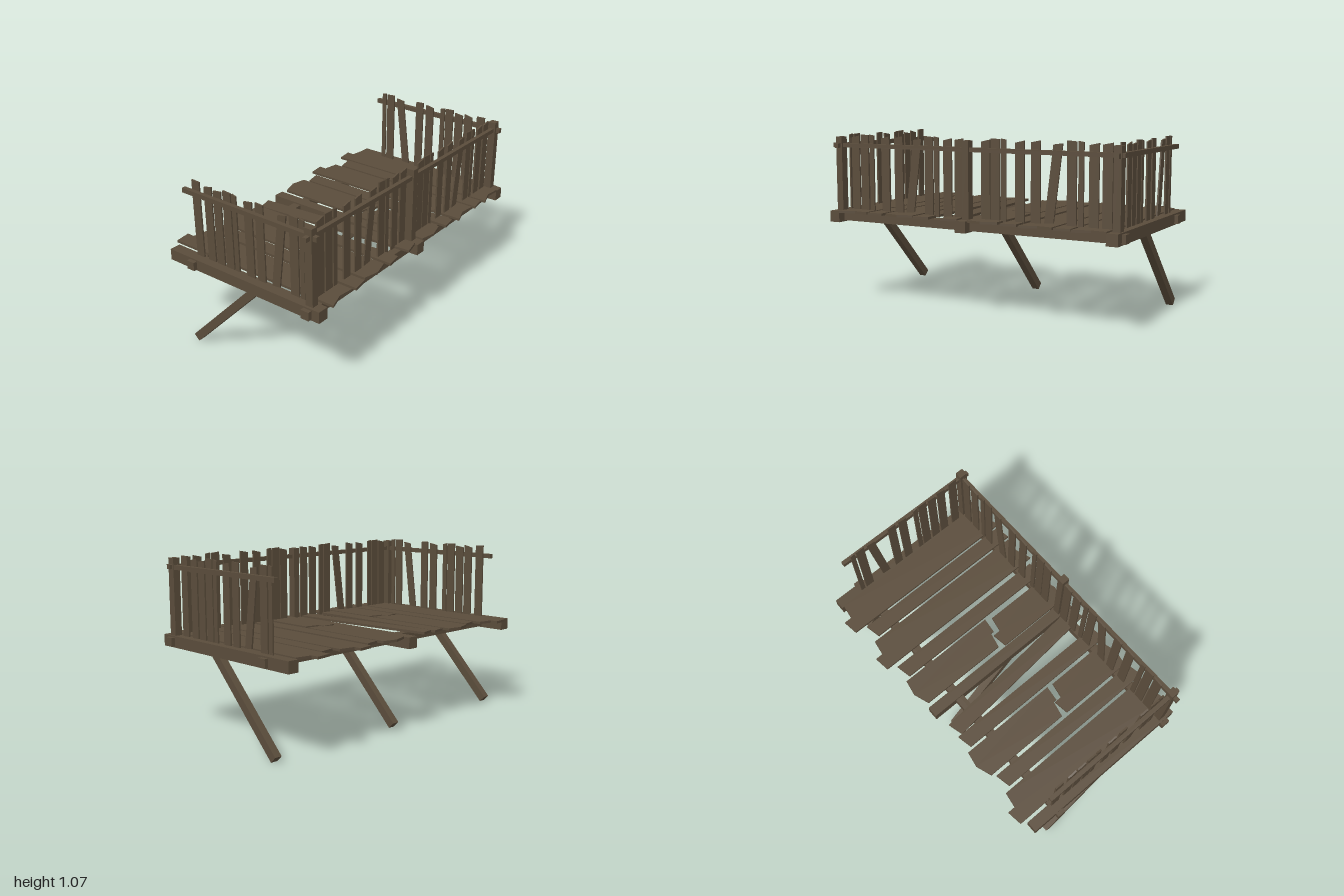
import * as THREE from 'three';

const wood = new THREE.MeshStandardMaterial({ color: 0x5a4c3b });
wood.name = 'weathered wood';

function add(parent, name, geometry, x = 0, y = 0, z = 0) {
  const mesh = new THREE.Mesh(geometry, wood);
  mesh.name = name;
  mesh.position.set(x, y, z);
  parent.add(mesh);
  return mesh;
}

function beam(parent, name, w, h, d, x, y, z) {
  return add(parent, name, new THREE.BoxGeometry(w, h, d), x, y, z);
}

function board(points, thickness) {
  const shape = new THREE.Shape(points.map(([a, b]) => new THREE.Vector2(a, b)));
  return new THREE.ExtrudeGeometry(shape, { depth: thickness, bevelEnabled: false });
}

// Upright board: [left, right, left top height, right top height, lean]
function pickets(list) {
  const group = new THREE.Group();
  for (const [a, b, ha, hb, lean = 0] of list) {
    const foot = lean ? 0.6 : 0.585;
    add(group, 'picket', board(
      [[a, foot], [b, foot + lean * 0.1], [b + lean, hb], [a + lean, ha]], 0.01));
  }
  return group;
}

export function createModel() {
  const model = new THREE.Group();
  model.name = 'balcony';

  // Floor frame: cross joists, diagonal braces and front posts
  const foot = new THREE.Vector2(-0.407, 0.018), head = new THREE.Vector2(0.11, 0.545);
  const span = head.clone().sub(foot);
  for (const x of [-0.94, -0.01, 0.942]) {
    beam(model, 'joist', 0.07, 0.07, 1.13, x, 0.555, 0.01);
    const brace = beam(model, 'brace', 0.046, 0.05, span.length(),
      x, (foot.y + head.y) / 2, (foot.x + head.x) / 2);
    brace.rotation.x = -Math.atan2(span.y, span.x);
    beam(model, 'post', 0.045, 0.48, 0.05, x + 0.003, 0.815, 0.495);
  }
  for (const z of [0.495, -0.365]) {
    beam(model, 'longBeam', 2, 0.053, 0.055, 0, 0.554, z);
  }

  // Deck boards, outlined as [x, z] with split and slanted ends
  const deck = new THREE.Group();
  deck.name = 'deck';
  model.add(deck);
  const plank = (points) => {
    const geometry = board(points.map(([x, z]) => [x, -z]).reverse(), 0.015);
    geometry.rotateX(-Math.PI / 2);
    add(deck, 'deckBoard', geometry, 0, 0.583, 0);
  };
  for (const x of [-0.885, 0.39, 0.715]) { // wide boards with a stepped end
    plank([[x, -0.592], [x + 0.098, -0.605], [x + 0.098, -0.555], [x + 0.195, -0.54],
      [x + 0.195, 0.575], [x + 0.1, 0.565], [x, 0.6]]);
  }
  for (const [x, back, front] of [[-0.67, -0.495, 0.59], [-0.335, -0.515, 0.583],
    [0.262, -0.515, 0.583], [0.602, -0.495, 0.59]]) { // narrow boards
    plank([[x, back], [x + 0.097, back - 0.02], [x + 0.097, front - 0.015], [x, front]]);
  }
  for (const [x, x2] of [[-0.55, -0.553], [0.05, 0.03]]) { // boards snapped in two
    plank([[x, -0.535], [x + 0.1, -0.57], [x + 0.197, -0.552], [x + 0.197, 0.09],
      [x + 0.1, 0.078], [x + 0.1, 0.056], [x, 0.035]]);
    plank([[x2, 0.075], [x2 + 0.097, 0.062], [x2 + 0.097, 0.112], [x2 + 0.195, 0.13],
      [x2 + 0.195, 0.552], [x2 + 0.097, 0.58], [x2, 0.56]]);
  }
  plank([[-0.237, -0.505], [-0.142, -0.53], [-0.045, 0.555], [-0.142, 0.58]]); // loose board

  // Front railing
  beam(model, 'frontRail', 1.975, 0.026, 0.026, -0.002, 1.002, 0.497);
  const front = pickets([
    [-0.868, -0.809, 1.05, 1.063], [-0.798, -0.739, 1.07, 1.067], [-0.729, -0.697, 1.07, 1.065],
    [-0.638, -0.579, 1.05, 1.063], [-0.536, -0.478, 1.055, 1.067], [-0.455, -0.397, 1.047, 1.055, 0.058],
    [-0.317, -0.258, 1.072, 1.067], [-0.248, -0.216, 1.07, 1.065], [-0.183, -0.125, 1.05, 1.063],
    [-0.103, -0.044, 1.055, 1.065], [0.079, 0.137, 1.05, 1.063], [0.143, 0.202, 1.07, 1.067],
    [0.212, 0.244, 1.07, 1.065], [0.303, 0.362, 1.05, 1.063], [0.405, 0.464, 1.055, 1.067],
    [0.49, 0.548, 1.047, 1.055, 0.055], [0.63, 0.688, 1.072, 1.067], [0.699, 0.731, 1.07, 1.065],
    [0.763, 0.822, 1.05, 1.063], [0.843, 0.902, 1.055, 1.067]]);
  front.name = 'frontPickets';
  front.position.z = 0.47;
  model.add(front);

  // Side railings; the left and right picket rows run in opposite directions
  for (const side of [-1, 1]) {
    const x = side > 0 ? 0.95 : -0.938;
    beam(model, 'sideRail', 0.026, 0.028, 0.98, x, 1, 0.055);
    const row = pickets([
      [0.379, 0.437, 1.067, 1.07], [0.285, 0.343, 1.063, 1.05], [0.213, 0.271, 1.055, 1.047],
      [0.139, 0.197, 1.067, 1.07], [0.098, 0.13, 1.06, 1.068], [-0.018, 0.04, 1.06, 1.05],
      [-0.099, -0.043, 1.065, 1.068], [-0.203, -0.147, 1.055, 1.047, -0.058],
      [-0.341, -0.283, 1.067, 1.07], [-0.382, -0.353, 1.065, 1.07]]);
    row.name = side > 0 ? 'leftPickets' : 'rightPickets';
    row.rotation.y = -side * Math.PI / 2;
    row.position.set(side > 0 ? 0.935 : -0.923, 0, side > 0 ? 0 : 0.055);
    model.add(row);
  }
  return model;
}
